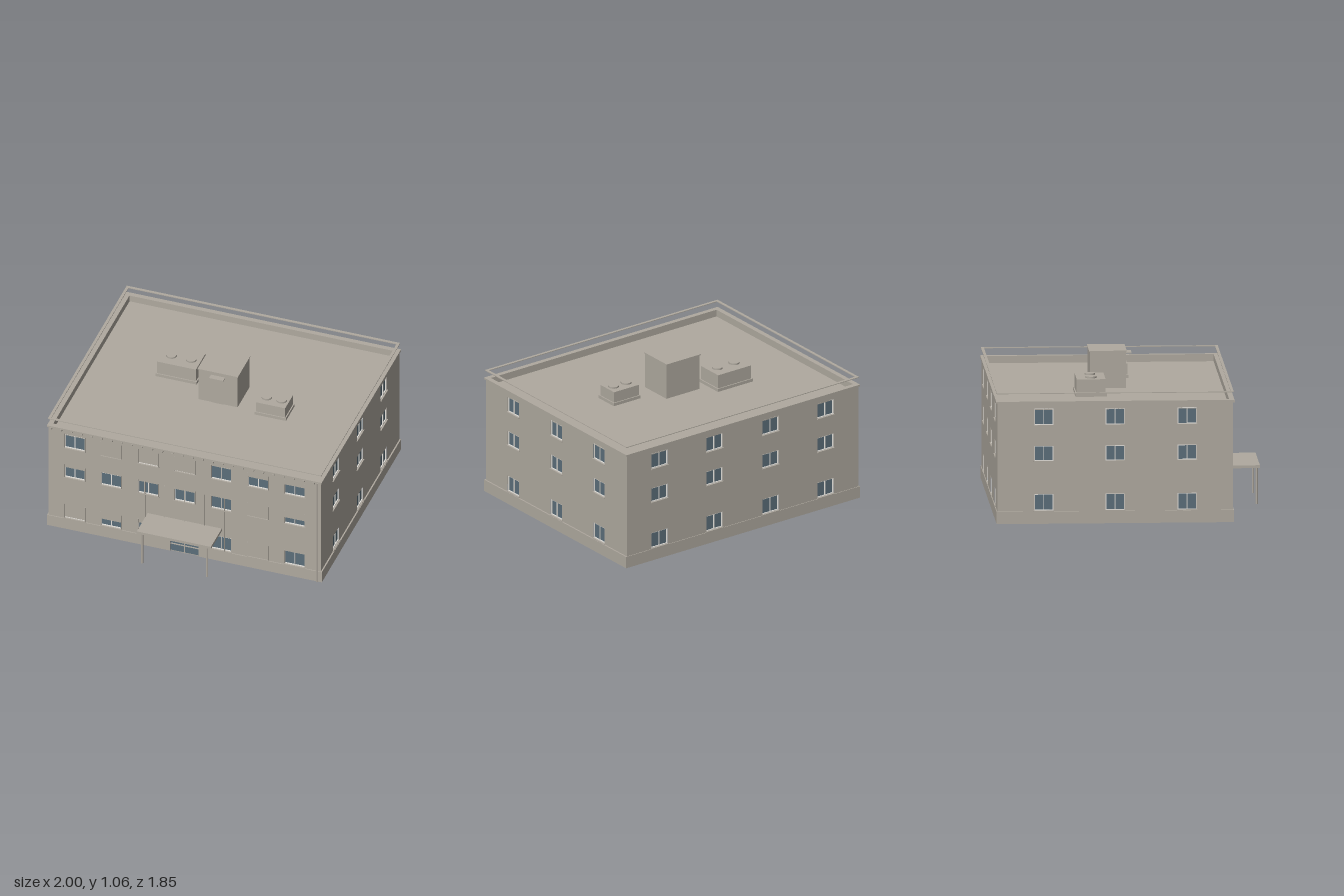
import * as THREE from 'three';

const material = (name, color, side = THREE.FrontSide) => {
  const m = new THREE.MeshStandardMaterial({ color, side });
  m.name = name;
  return m;
};

export function createModel() {
  const stone = material('stone', 0xafa99f, THREE.DoubleSide);
  const glass = material('glass', 0x5b6e7a, THREE.DoubleSide);
  const white = material('window frame', 0xe2dfd9, THREE.DoubleSide);
  const model = new THREE.Group();
  model.name = 'officeBuilding';

  const X = 0.99, BACK = -0.92, FRONT = 0.70, TOP = 0.84;
  const MID = (BACK + FRONT) / 2, DEPTH = FRONT - BACK;

  const add = (parent, name, geometry, mat) => {
    const mesh = new THREE.Mesh(geometry, mat);
    mesh.name = name;
    parent.add(mesh);
    return mesh;
  };
  // Box given by its limits on each axis
  const box = (parent, name, x0, x1, y0, y1, z0, z1, mat = stone) => {
    const mesh = add(parent, name, new THREE.BoxGeometry(x1 - x0, y1 - y0, z1 - z0), mat);
    mesh.position.set((x0 + x1) / 2, (y0 + y1) / 2, (z0 + z1) / 2);
    return mesh;
  };
  const cylinder = (parent, name, r, x, y0, y1, z, sides = 12) => {
    const mesh = add(parent, name, new THREE.CylinderGeometry(r, r, y1 - y0, sides), stone);
    mesh.position.set(x, (y0 + y1) / 2, z);
  };
  const trace = (path, x0, x1, y0, y1) =>
    path.moveTo(x0, y0).lineTo(x1, y0).lineTo(x1, y1).lineTo(x0, y1).closePath();
  // Flat rectangular ring around the building
  const ring = (name, x, z0, z1, t, y, h) => {
    const shape = trace(new THREE.Shape(), -x, x, -z1, -z0);
    shape.holes.push(trace(new THREE.Path(), -x + t, x - t, -z1 + t, -z0 - t));
    const geo = new THREE.ExtrudeGeometry(shape, { depth: h, bevelEnabled: false });
    add(model, name, geo.rotateX(-Math.PI / 2), stone).position.y = y;
  };

  // Recessed pane with a pale frame and a centre bar
  const addWindow = (wall, cx, y0, y1, w) => {
    const g = new THREE.Group();
    g.name = 'window';
    wall.add(g);
    const a = cx - w / 2, b = cx + w / 2, f = 0.005;
    box(g, 'pane', a, b, y0, y1, -0.016, -0.012, glass);
    const shape = trace(new THREE.Shape(), a, b, y0, y1);
    shape.holes.push(
      trace(new THREE.Path(), a + f, cx - f / 2, y0 + f, y1 - f),
      trace(new THREE.Path(), cx + f / 2, b - f, y0 + f, y1 - f));
    add(g, 'frame', new THREE.ExtrudeGeometry(shape, { depth: 0.008, bevelEnabled: false }), white)
      .position.z = -0.012;
    box(g, 'sill', a - 0.005, b + 0.005, y0 - 0.006, y0, -0.01, 0.007);
  };

  const rows = [[0.09, 0.205], [0.435, 0.54], [0.685, 0.80]];

  // Thin wall with window openings, facing its own +z
  const addWall = (name, width, openings, x, z, turn) => {
    const wall = new THREE.Group();
    wall.name = name;
    wall.position.set(x, 0, z);
    wall.rotation.y = turn;
    model.add(wall);
    const shape = trace(new THREE.Shape(), -width / 2, width / 2, 0, TOP);
    for (const o of openings)
      shape.holes.push(trace(new THREE.Path(), o.x - o.w / 2, o.x + o.w / 2, o.y0, o.y1));
    add(wall, name + 'Surface', new THREE.ShapeGeometry(shape), stone);
    for (const o of openings) if (!o.door) addWindow(wall, o.x, o.y0, o.y1, o.w);
    return wall;
  };
  const grid = (columns, w) =>
    rows.flatMap(([y0, y1]) => columns.map(x => ({ x, w, y0, y1 })));

  const sideColumns = [-0.385, 0.11, 0.60];
  addWall('rightWall', DEPTH, grid(sideColumns.map(v => v + MID), 0.13), X, MID, Math.PI / 2);
  addWall('leftWall', DEPTH, grid(sideColumns.map(v => -v - MID), 0.13), -X, MID, -Math.PI / 2);
  addWall('backWall', 2 * X, grid([-0.71, -0.24, 0.24, 0.71], 0.14), 0, BACK, Math.PI);

  // Front wall: entrance in the centre, blinds closing many of the windows
  const columns = [-0.8, -0.535, -0.265, 0, 0.265, 0.535, 0.8];
  const frontOpenings = grid(columns, 0.15).filter(o => o.x !== 0 || o.y0 > 0.1);
  frontOpenings.push({ x: 0, w: 0.215, y0: 0.005, y1: 0.225, door: true });
  const front = addWall('frontWall', 2 * X, frontOpenings, 0, FRONT, 0);
  const openTop = [
    [0.10, 0.145, 0.18, 0, 0.205, 0.09, 0.20],
    [0.52, 0.54, 0.535, 0.53, 0.535, 0.435, 0.485],
    [0.80, 0.685, 0.695, 0.69, 0.80, 0.765, 0.765]];
  rows.forEach(([y0, y1], r) => columns.forEach((x, c) => {
    if (r === 0 && x === 0) return;
    const from = openTop[r][c];
    if (y1 - from > 0.004) box(front, 'blind', x - 0.075, x + 0.075, from, y1, -0.003, 0);
    for (const s of [-1, 1])
      box(front, 'windowTrim', x + s * 0.075 - 0.002, x + s * 0.075 + 0.002, y0, y1 + 0.005, -0.01, 0.007);
  }));

  // Entrance door
  box(front, 'doorGlass', -0.107, 0.107, 0, 0.225, -0.008, -0.002, glass);
  for (const x of [-0.107, 0, 0.107])
    box(front, 'doorPost', x - 0.003, x + 0.003, 0, 0.225, -0.008, 0.006);
  box(front, 'doorRail', -0.107, 0.107, 0.06, 0.065, -0.008, 0.006);

  // Plinth, broken at the entrance
  const P = 0.085;
  for (const s of [-1, 1]) {
    box(model, 'sidePlinth', s > 0 ? X : -1, s > 0 ? 1 : -X, 0, P, BACK - 0.005, FRONT + 0.007);
    box(model, 'frontPlinth', s > 0 ? 0.11 : -X, s > 0 ? X : -0.11, 0, P, FRONT, FRONT + 0.007);
  }
  box(model, 'backPlinth', -X, X, 0, P, BACK - 0.005, BACK);

  // Roof, parapet, cornice and the thin rail above it
  box(model, 'roof', -X + 0.004, X - 0.004, 0.79, 0.80, BACK + 0.004, FRONT - 0.004);
  ring('parapet', X - 0.004, BACK + 0.004, FRONT - 0.004, 0.021, 0.80, 0.038);
  ring('cornice', 1, -0.928, 0.71, 0.035, 0.838, 0.012);
  ring('roofRail', 0.995, -0.923, 0.705, 0.02, 0.902, 0.005);
  for (let i = 0; i < 27; i++) {
    const x = -0.97 + i * 0.0735;
    box(model, 'dentil', x - 0.006, x + 0.006, 0.826, 0.838, FRONT, 0.714);
  }

  // Entrance canopy, its posts and the fins on the facade
  box(model, 'canopy', -0.27, 0.27, 0.255, 0.275, FRONT, 0.925);
  for (const x of [-0.237, 0.235]) cylinder(model, 'canopyPost', 0.008, x, 0, 0.255, 0.905);
  for (const x of [-0.29, -0.145, 0, 0.145, 0.29])
    box(model, 'facadeFin', x - 0.003, x + 0.003, x === 0 ? 0.275 : P, 0.54, FRONT, 0.708);
  cylinder(model, 'downpipe', 0.007, 0.967, 0, 0.838, 0.709);

  // Stair house on the roof
  box(model, 'stairHouse', -0.142, 0.142, 0.80, 1.053, -0.237, 0.013);
  box(model, 'stairHouseLid', -0.148, 0.145, 1.053, 1.06, -0.242, 0.017);
  box(model, 'stairHouseDoor', -0.04, 0.04, 0.80, 1.0, 0.013, 0.017);
  box(model, 'stairHouseCanopy', -0.052, 0.052, 1.024, 1.031, 0.013, 0.055);

  // Cooling units with round fans
  const coolingUnit = (x0, x1, z0, z1, top, fans, fz) => {
    const g = new THREE.Group();
    g.name = 'coolingUnit';
    model.add(g);
    box(g, 'unitTray', x0, x1, 0.80, 0.822, z0, z1);
    box(g, 'unitBody', x0 + 0.008, x1 - 0.008, 0.822, top, z0 + 0.008, z1 - 0.008);
    for (const x of fans) cylinder(g, 'fan', 0.037, x, top, top + 0.012, fz, 24);
  };
  coolingUnit(-0.508, -0.21, -0.355, -0.14, 0.92, [-0.43, -0.287], -0.245);
  coolingUnit(0.278, 0.507, -0.122, 0.052, 0.90, [0.338, 0.446], -0.035);

  return model;
}
